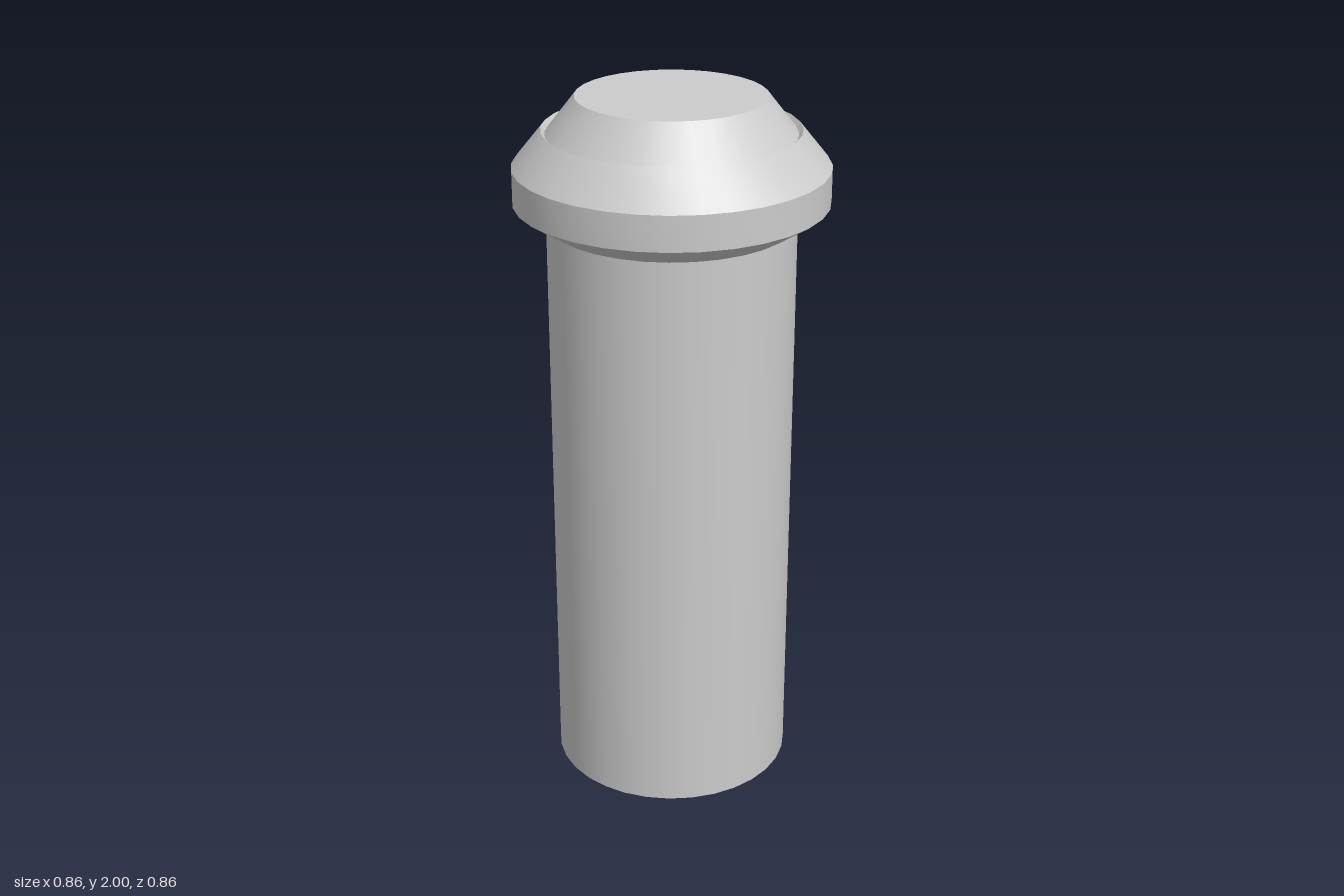
import * as THREE from 'three';
import { toCreasedNormals } from 'three/addons/utils/BufferGeometryUtils.js';

const SIDES = 32;
const material = new THREE.MeshStandardMaterial({ color: 0xcccccc });

export function createModel() {
  const model = new THREE.Group();
  model.name = 'roundHeadedPin';

  const add = (name, geometry, y = 0) => {
    const mesh = new THREE.Mesh(geometry, material);
    mesh.name = name;
    mesh.position.y = y;
    model.add(mesh);
  };
  // closed cylinder or cone frustum between two heights
  const frustum = (rTop, rBottom, y0, y1) =>
    new THREE.CylinderGeometry(rTop, rBottom, y1 - y0, SIDES).translate(0, (y0 + y1) / 2, 0);

  // straight shaft
  add('shaft', frustum(0.341, 0.341, 0, 1.655));

  // flared collar, ending in the narrow groove around the cap
  const collarProfile = [
    [0.341, 1.655], [0.43, 1.713], [0.43, 1.81], [0.349, 1.91], [0.338, 1.898],
  ].map(([r, y]) => new THREE.Vector2(r, y));
  add('collar', toCreasedNormals(new THREE.LatheGeometry(collarProfile, SIDES), 0.4));

  // bevelled cap with a flat top
  add('cap', frustum(0.258, 0.338, 1.898, 2));

  return model;
}
